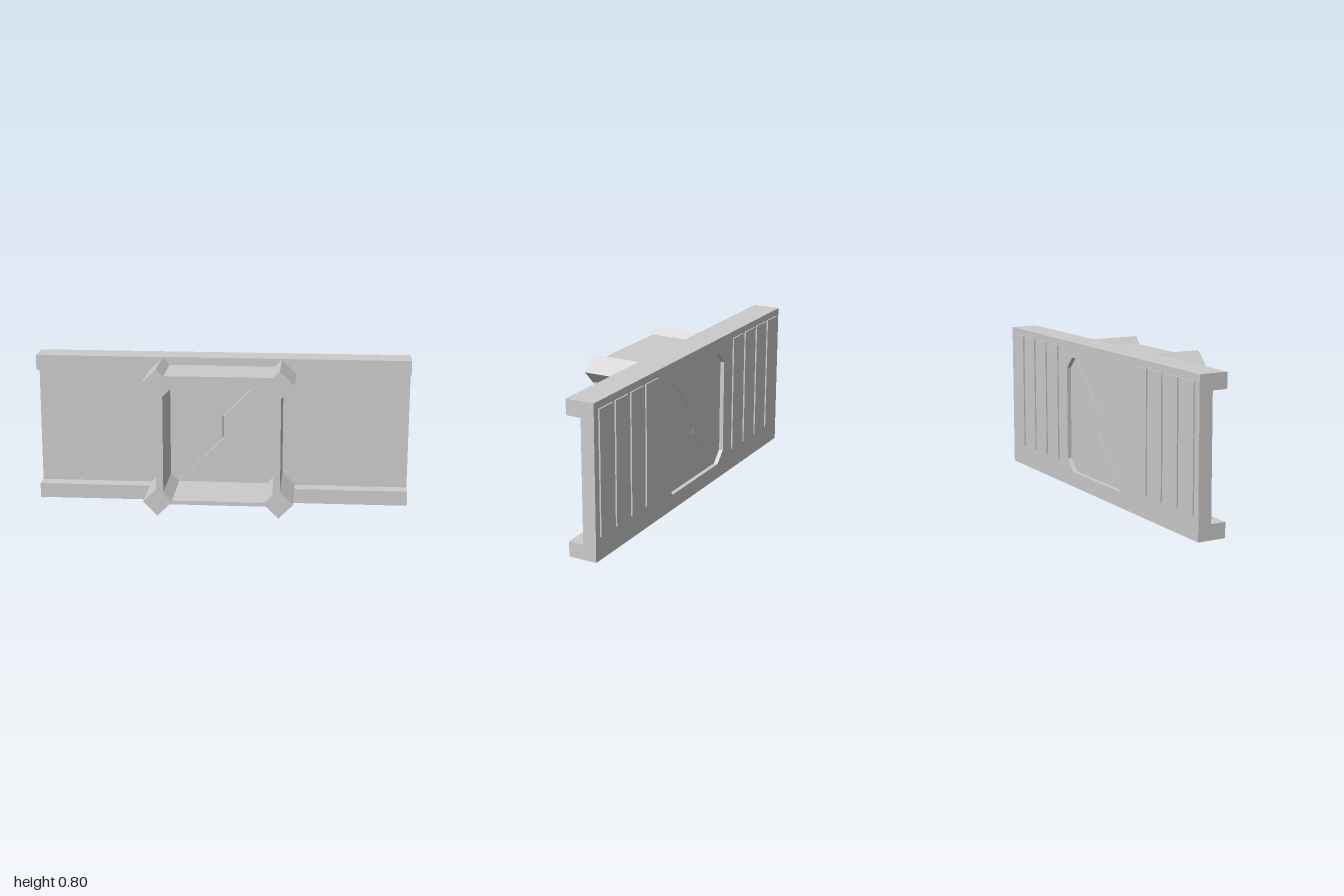
import * as THREE from 'three';

const grey = new THREE.MeshStandardMaterial({ color: 0xcccccc, flatShading: true });

// Rectangle outline with its four corners cut off at 45 degrees
function octagon(halfW, y0, y1, cut) {
  return [
    [-halfW + cut, y0], [halfW - cut, y0], [halfW, y0 + cut], [halfW, y1 - cut],
    [halfW - cut, y1], [-halfW + cut, y1], [-halfW, y1 - cut], [-halfW, y0 + cut],
  ].map(([x, y]) => new THREE.Vector2(x, y));
}

export function createModel() {
  const group = new THREE.Group();

  const add = (name, geometry) => {
    const mesh = new THREE.Mesh(geometry, grey);
    mesh.name = name;
    group.add(mesh);
    return mesh;
  };
  const box = (name, x0, x1, y0, y1, z0, z1) => {
    const mesh = add(name, new THREE.BoxGeometry(x1 - x0, y1 - y0, z1 - z0));
    mesh.position.set((x0 + x1) / 2, (y0 + y1) / 2, (z0 + z1) / 2);
    return mesh;
  };
  const slab = (name, outline, z0, z1, hole) => {
    const shape = new THREE.Shape(outline);
    if (hole) shape.holes.push(new THREE.Path(hole));
    const geometry = new THREE.ExtrudeGeometry(shape, { depth: z1 - z0, bevelEnabled: false });
    geometry.translate(0, 0, z0);
    return add(name, geometry);
  };

  // Wall with the door opening, between two rails that reach forward
  const wall = [[-1, 0.079], [1, 0.079], [1, 0.716], [-1, 0.716]].map(([x, y]) => new THREE.Vector2(x, y));
  slab('wall', wall, -0.213, -0.141, octagon(0.315, 0.083, 0.712, 0.062));
  box('bottomRail', -1, 1, 0, 0.079, -0.213, -0.061);
  box('topRail', -1, 1, 0.716, 0.797, -0.213, -0.061);

  // Entrance tunnel
  slab('tunnel', octagon(0.325, 0.065, 0.755, 0.045), -0.142, 0.212, octagon(0.287, 0.086, 0.69, 0.045));

  // Diamond posts along the tunnel corners
  for (const x of [-0.318, 0.318]) {
    for (const y of [0.08, 0.717]) {
      const side = 0.076 * Math.SQRT2;
      const post = add('cornerPost', new THREE.BoxGeometry(side, side, 0.363));
      post.position.set(x, y, 0.0405);
      post.rotation.z = Math.PI / 4;
    }
  }

  // Two door halves meeting along a stepped diagonal seam
  const gap = 0.002;
  const lower = [
    [-0.253, 0.083], [0.253, 0.083], [0.315, 0.145], [0.315, 0.65], [0.253 + gap, 0.712 - gap],
    [gap, 0.46], [gap, 0.335 - gap], [-0.253, 0.083 + gap],
  ];
  const upper = [
    [-0.315, 0.145], [-0.253 - gap, 0.083 + gap], [-gap, 0.335], [-gap, 0.46 + gap],
    [0.253 - gap, 0.712], [-0.253, 0.712], [-0.315, 0.65],
  ];
  for (const [name, points] of [['lowerDoor', lower], ['upperDoor', upper]]) {
    slab(name, points.map(([x, y]) => new THREE.Vector2(x, y)), -0.19, -0.138);
  }

  // Raised plates on the back, four on each side
  for (const side of [-1, 1]) {
    for (let i = 0; i < 4; i++) {
      const x = side * (0.474 + i * 0.143);
      box('backPlate', x - 0.059, x + 0.059, 0.12, 0.76, -0.221, -0.205);
    }
  }
  return group;
}
